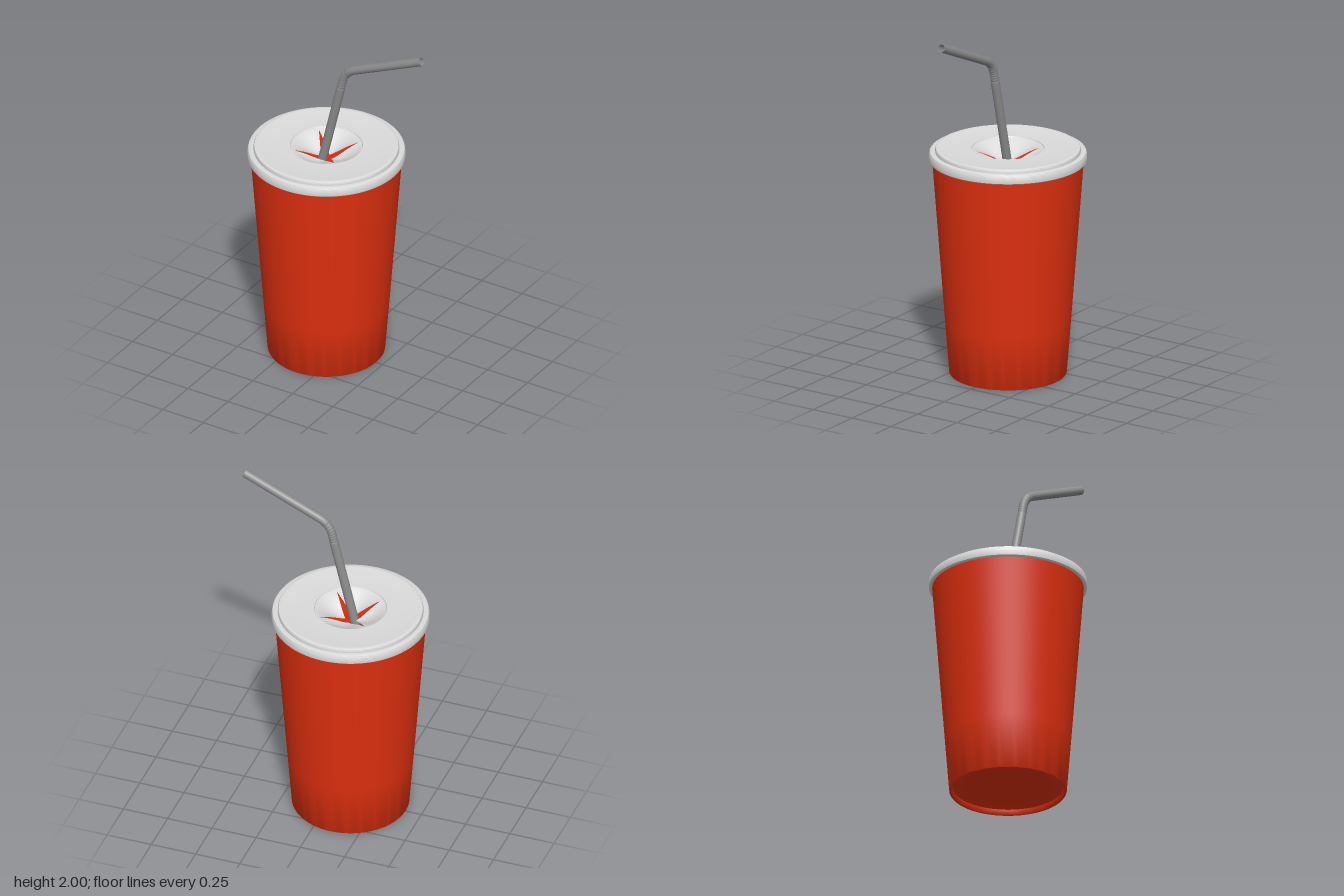
import * as THREE from 'three';
import { toCreasedNormals } from 'three/addons/utils/BufferGeometryUtils.js';

const CUP_X = -0.1;

function material(name, color, side = THREE.FrontSide) {
  const m = new THREE.MeshStandardMaterial({ color, side });
  m.name = name;
  return m;
}

function mesh(name, geometry, mat) {
  const m = new THREE.Mesh(geometry, mat);
  m.name = name;
  return m;
}

function lathe(points, crease = 0.6) {
  const g = new THREE.LatheGeometry(points.map(([r, y]) => new THREE.Vector2(r, y)), 96);
  return toCreasedNormals(g, crease);
}

// One quarter of the dished straw opening: a flap narrowing to a sagging tip
function flapGeometry(heading) {
  const outer = 0.19, slitEnd = 0.175, tip = 0.03, rows = 24, cols = 24;
  const pos = [], index = [];
  for (let i = 0; i <= rows; i++) {
    const r = tip + (outer - tip) * (i / rows);
    const gap = 0.028 * Math.max(0, 1 - r / slitEnd);
    const half = Math.max(0, Math.PI / 4 - gap / r);
    const t = 1 - r / outer;
    for (let j = 0; j <= cols; j++) {
      const a = half * (2 * j / cols - 1);
      const sag = 0.02 * Math.sin(Math.PI * t) * Math.cos(2 * a);
      const y = 1.249 - 0.075 * Math.pow(t, 1.2) - sag;
      pos.push(r * Math.cos(heading + a), y, r * Math.sin(heading + a));
      if (i < rows && j < cols) {
        const p = i * (cols + 1) + j, q = p + cols + 1;
        index.push(p, p + 1, q, q, p + 1, q + 1);
      }
    }
  }
  const g = new THREE.BufferGeometry();
  g.setAttribute('position', new THREE.Float32BufferAttribute(pos, 3));
  g.setIndex(index);
  g.computeVertexNormals();
  return g;
}

// Bent tube with a ribbed section at the elbow
function strawGeometry(radius, ribbed) {
  const z = 0.015;
  const v = (x, y) => new THREE.Vector3(x, y, z);
  const path = new THREE.CurvePath();
  path.add(new THREE.LineCurve3(v(-0.365, 0.13), v(0.011, 1.7)));
  path.add(new THREE.QuadraticBezierCurve3(v(0.011, 1.7), v(0.027, 1.763), v(0.085, 1.789)));
  path.add(new THREE.LineCurve3(v(0.085, 1.789), v(0.505, 1.978)));
  const rings = 480, sides = 24;
  const g = new THREE.TubeGeometry(path, rings, radius, sides, false);
  if (!ribbed) return g;
  const total = path.getLength(), p = g.attributes.position, n = g.attributes.normal;
  for (let i = 0; i < p.count; i++) {
    const s = Math.floor(i / (sides + 1)) / rings * total;
    if (s < 1.565 || s > 1.685) continue;
    const d = -0.0015 * (1 - Math.cos((s - 1.565) / 0.015 * 2 * Math.PI));
    p.setXYZ(i, p.getX(i) + n.getX(i) * d, p.getY(i) + n.getY(i) * d, p.getZ(i) + n.getZ(i) * d);
  }
  g.computeVertexNormals();
  return g;
}

export function createModel() {
  const red = material('cupRed', 0xe0300f, THREE.DoubleSide);
  const white = material('lidWhite', 0xdadada, THREE.DoubleSide);
  const grey = material('strawGrey', 0x8c8c8c, THREE.DoubleSide);

  const model = new THREE.Group();
  model.name = 'drinkCup';

  // Tapered cup with a recessed base and hollow inside
  const cup = new THREE.Group();
  cup.name = 'cup';
  cup.position.x = CUP_X;
  cup.add(mesh('cupWall', lathe([
    [0, 0.045], [0.2, 0.044], [0.28, 0.04], [0.296, 0.03], [0.298, 0.005], [0.302, 0],
    [0.308, 0], [0.312, 0.006], [0.335, 0.3], [0.404, 1.21], [0.396, 1.21], [0.304, 0.06], [0, 0.06],
  ]), red));
  model.add(cup);

  // Lid: outer rim, groove, raised disc and dished opening
  const lid = new THREE.Group();
  lid.name = 'lid';
  lid.position.x = CUP_X;
  lid.add(mesh('lidRim', lathe([
    [0.402, 1.187], [0.415, 1.187], [0.419, 1.191], [0.42, 1.2], [0.418, 1.23], [0.414, 1.237],
    [0.407, 1.24], [0.39, 1.24], [0.386, 1.237], [0.386, 1.25], [0.383, 1.256], [0.376, 1.259],
    [0.364, 1.259], [0.345, 1.255], [0.193, 1.255], [0.19, 1.249],
  ]), white));
  for (let k = 0; k < 4; k++) {
    lid.add(mesh('openingFlap' + (k + 1), flapGeometry(k * Math.PI / 2), white));
  }
  model.add(lid);

  // Hollow bent straw
  const straw = new THREE.Group();
  straw.name = 'straw';
  straw.add(mesh('strawOuter', strawGeometry(0.024, true), grey));
  straw.add(mesh('strawInner', strawGeometry(0.02, false), grey));
  const lip = mesh('strawLip', new THREE.RingGeometry(0.02, 0.024, 24), grey);
  lip.position.set(0.505, 1.978, 0.015);
  lip.lookAt(0.925, 2.167, 0.015);
  straw.add(lip);
  model.add(straw);

  return model;
}
